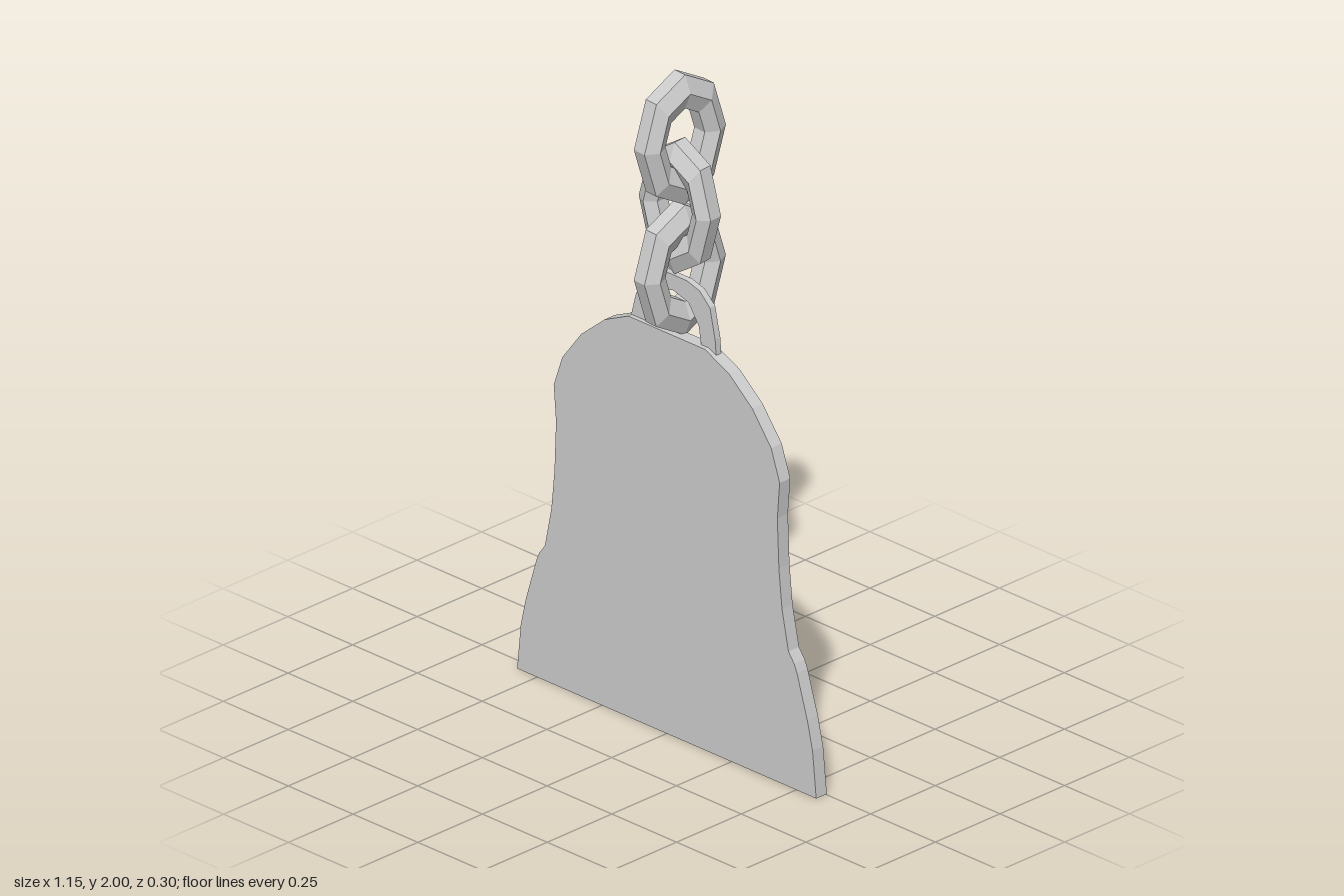
import * as THREE from 'three';

const material = new THREE.MeshStandardMaterial({ color: 0xcccccc, flatShading: true });

function add(group, name, geometry) {
  const mesh = new THREE.Mesh(geometry, material);
  mesh.name = name;
  group.add(mesh);
  return mesh;
}

// Flat plate cut from an outline, starting at depth z
function plate(points, z, depth) {
  const shape = new THREE.Shape(points.map(([x, y]) => new THREE.Vector2(x, y)));
  return new THREE.ExtrudeGeometry(shape, { depth, bevelEnabled: false }).translate(0, 0, z);
}

// Eight-sided oval ring with a hexagonal section, lying in the yz plane
function linkGeometry(width, height) {
  const R = 0.109, r = 0.044, outer = R + r * Math.cos(Math.PI / 6);
  const section = [];
  for (let i = 0; i <= 6; i++) {
    const a = Math.PI / 6 + (i % 6) * Math.PI / 3;
    section.push(new THREE.Vector2(R + r * Math.cos(a), r * Math.sin(a)));
  }
  return new THREE.LatheGeometry(section, 8)
    .rotateZ(Math.PI / 2)
    .scale(1, height / 2 / outer, width / 2 / outer);
}

export function createModel() {
  const model = new THREE.Group();
  model.name = 'bellOnChain';

  // Bell-shaped plate, mirrored from its half outline
  const half = [
    [0.577, 0], [0.563, 0.14], [0.543, 0.225], [0.503, 0.355], [0.492, 0.38], [0.47, 0.41],
    [0.445, 0.53], [0.433, 0.65], [0.427, 0.8], [0.436, 0.91], [0.403, 1.005],
    [0.33, 1.1], [0.24, 1.175], [0.148, 1.217],
  ];
  const outline = [...half, ...half.map(([x, y]) => [-x, y]).reverse()];
  add(model, 'bellPlate', plate(outline, -0.004, 0.041));

  // Hanging loop: an arched band
  const arch = [
    [0.168, 1.19], [0.163, 1.25], [0.143, 1.34], [0.103, 1.378], [0.055, 1.392],
    [-0.055, 1.392], [-0.103, 1.355], [-0.143, 1.285], [-0.168, 1.19],
    [-0.113, 1.19], [-0.1, 1.27], [-0.06, 1.328], [0, 1.345],
    [0.06, 1.328], [0.1, 1.27], [0.113, 1.19],
  ].map(([x, y]) => [x + 0.01, y]);
  add(model, 'hangingLoop', plate(arch, 0.003, 0.02));

  // Three chain links, alternating by a quarter turn
  const links = [
    ['lowerLink', 1.407, -4, 0.295, 0.395],
    ['middleLink', 1.595, 95, 0.256, 0.4],
    ['upperLink', 1.8025, -4, 0.295, 0.395],
  ];
  for (const [name, y, yaw, width, height] of links) {
    const link = add(model, name, linkGeometry(width, height));
    link.position.set(0.013, y, -0.001);
    link.rotation.y = THREE.MathUtils.degToRad(yaw);
  }
  return model;
}
